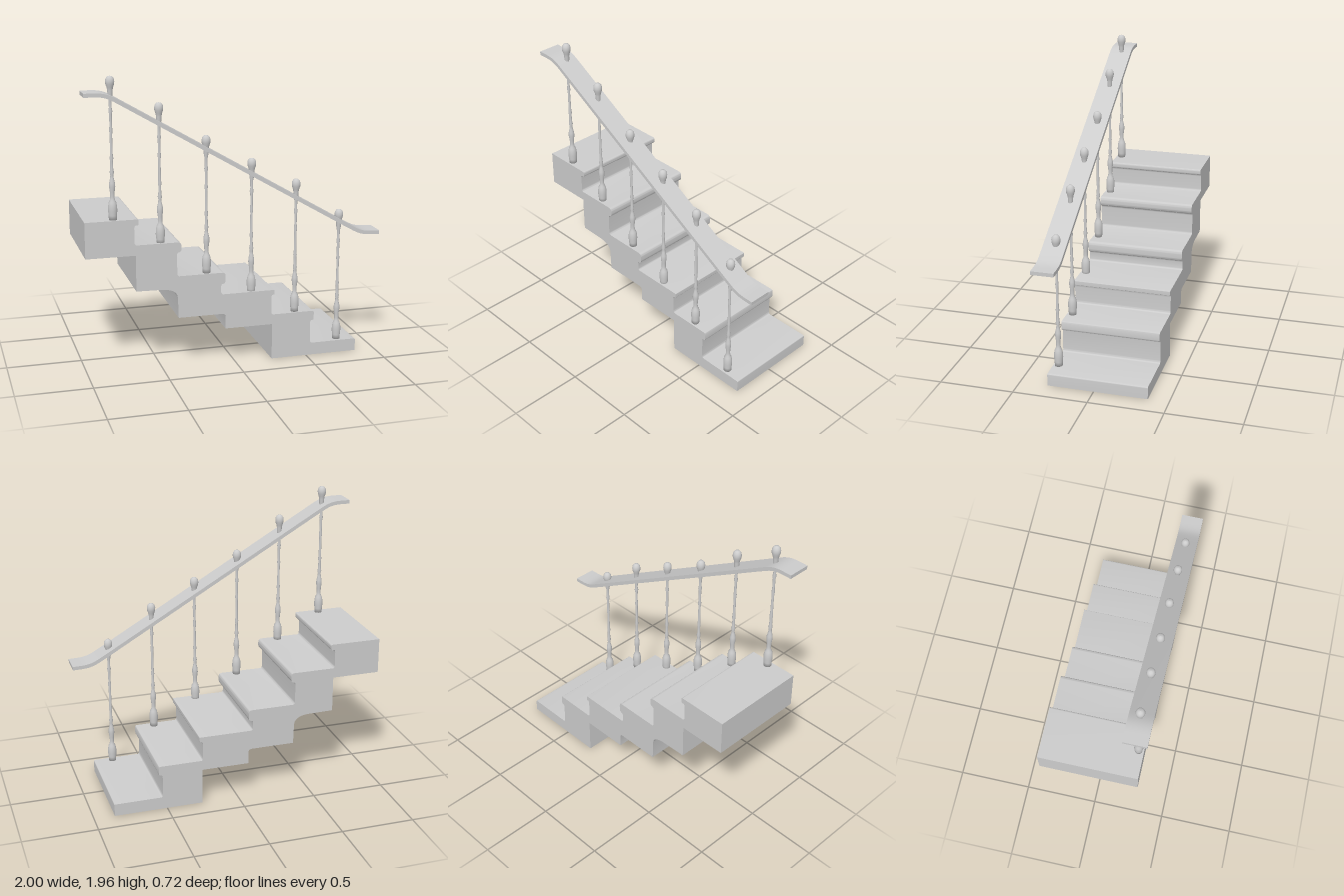
import * as THREE from 'three';
import { toCreasedNormals } from 'three/addons/utils/BufferGeometryUtils.js';

const material = new THREE.MeshStandardMaterial({ color: 0xcccccc });

// Extrude a side outline from z0 to z1, smoothing only its gentle curves
function extrude(shape, z0, z1, name) {
  const geo = new THREE.ExtrudeGeometry(shape, { depth: z1 - z0, bevelEnabled: false, curveSegments: 6 });
  geo.translate(0, 0, z0);
  const mesh = new THREE.Mesh(toCreasedNormals(geo, 0.6), material);
  mesh.name = name;
  return mesh;
}

// Each tread: top height, nosing tip x, nosing thickness, riser x, nosing radius
const treads = [
  [1.04, -0.65, 0.04, -0.68, 0.012],
  [0.868, -0.37, 0.068, -0.4, 0.025],
  [0.638, -0.072, 0.078, -0.103, 0.025],
  [0.488, 0.27, 0.033, 0.248, 0.004],
  [0.315, 0.553, 0.065, 0.528, 0.012],
];

function stairShape() {
  const s = new THREE.Shape();
  s.moveTo(-1, 0.8);
  // underside, stepping down to the floor
  s.lineTo(-0.673, 0.8);
  s.lineTo(-0.673, 0.558);
  s.lineTo(-0.5, 0.555);
  s.quadraticCurveTo(-0.4, 0.55, -0.397, 0.49);
  s.lineTo(-0.393, 0.352);
  s.lineTo(-0.095, 0.352);
  s.quadraticCurveTo(-0.072, 0.35, -0.072, 0.33);
  s.lineTo(-0.072, 0.247);
  s.lineTo(0.254, 0.247);
  s.lineTo(0.254, 0);
  // bottom tread
  s.lineTo(0.86, 0);
  s.lineTo(0.86, 0.075);
  s.quadraticCurveTo(0.86, 0.085, 0.85, 0.085);
  // risers and rounded nosings, climbing up
  for (let i = treads.length - 1; i >= 0; i--) {
    const [top, tip, thick, riser, r] = treads[i];
    const below = i < treads.length - 1 ? treads[i + 1][0] : 0.085;
    const under = top - thick;
    s.lineTo(riser + 0.015, below);
    s.quadraticCurveTo(riser, below, riser, below + 0.02);
    s.lineTo(riser, under - 0.02);
    s.quadraticCurveTo(riser, under, riser + 0.012, under);
    s.lineTo(tip - r, under);
    s.quadraticCurveTo(tip, under, tip, under + r);
    s.lineTo(tip, top - r);
    s.quadraticCurveTo(tip, top, tip - r, top);
  }
  s.lineTo(-1, 1.04);
  s.closePath();
  return s;
}

// Thin flat handrail: offset a centre line to both sides
function railShape() {
  const path = new THREE.Path();
  path.moveTo(-0.99, 1.853);
  path.lineTo(-0.93, 1.853);
  path.bezierCurveTo(-0.87, 1.853, -0.84, 1.845, -0.78, 1.81);
  path.lineTo(0.75, 0.92);
  path.bezierCurveTo(0.84, 0.868, 0.86, 0.855, 0.93, 0.851);
  path.lineTo(0.995, 0.849);
  const upper = [], lower = [];
  const pts = path.getPoints(10);
  pts.forEach((p, i) => {
    const a = pts[Math.max(i - 1, 0)], b = pts[Math.min(i + 1, pts.length - 1)];
    const t = b.clone().sub(a).normalize();
    const n = new THREE.Vector2(-t.y, t.x).multiplyScalar(0.0125);
    upper.push(p.clone().add(n));
    lower.push(p.clone().sub(n));
  });
  return new THREE.Shape([...lower, ...upper.reverse()]);
}

// Turned baluster, foot at y = 0, knob at y = 0.92
function balusterGeometry() {
  const profile = [
    [0, 0], [0.026, 0], [0.027, 0.03], [0.03, 0.06], [0.029, 0.09], [0.024, 0.115],
    [0.016, 0.13], [0.014, 0.15], [0.015, 0.18], [0.02, 0.215], [0.019, 0.24], [0.012, 0.27],
    [0.01, 0.29], [0.014, 0.31], [0.01, 0.33], [0.009, 0.38], [0.012, 0.4], [0.009, 0.42],
    [0.008, 0.55], [0.011, 0.58], [0.008, 0.61], [0.009, 0.68], [0.013, 0.7], [0.009, 0.72],
    [0.01, 0.77], [0.016, 0.8], [0.017, 0.83], [0.021, 0.85], [0.028, 0.87], [0.029, 0.887],
    [0.026, 0.904], [0.016, 0.917], [0, 0.921],
  ].map(([x, y]) => new THREE.Vector2(x, y));
  return new THREE.LatheGeometry(profile, 20);
}

export function createModel() {
  const group = new THREE.Group();
  group.name = 'staircase';
  group.add(extrude(stairShape(), -0.36, 0.312, 'steps'));
  group.add(extrude(railShape(), 0.205, 0.357, 'handrail'));

  const geo = balusterGeometry();
  [1.04, 0.862, 0.638, 0.472, 0.315, 0.088].forEach((y, i) => {
    const post = new THREE.Mesh(geo, material);
    post.name = 'baluster' + (i + 1);
    post.position.set(-0.81 + i * 0.3085, y, 0.275);
    group.add(post);
  });
  return group;
}
